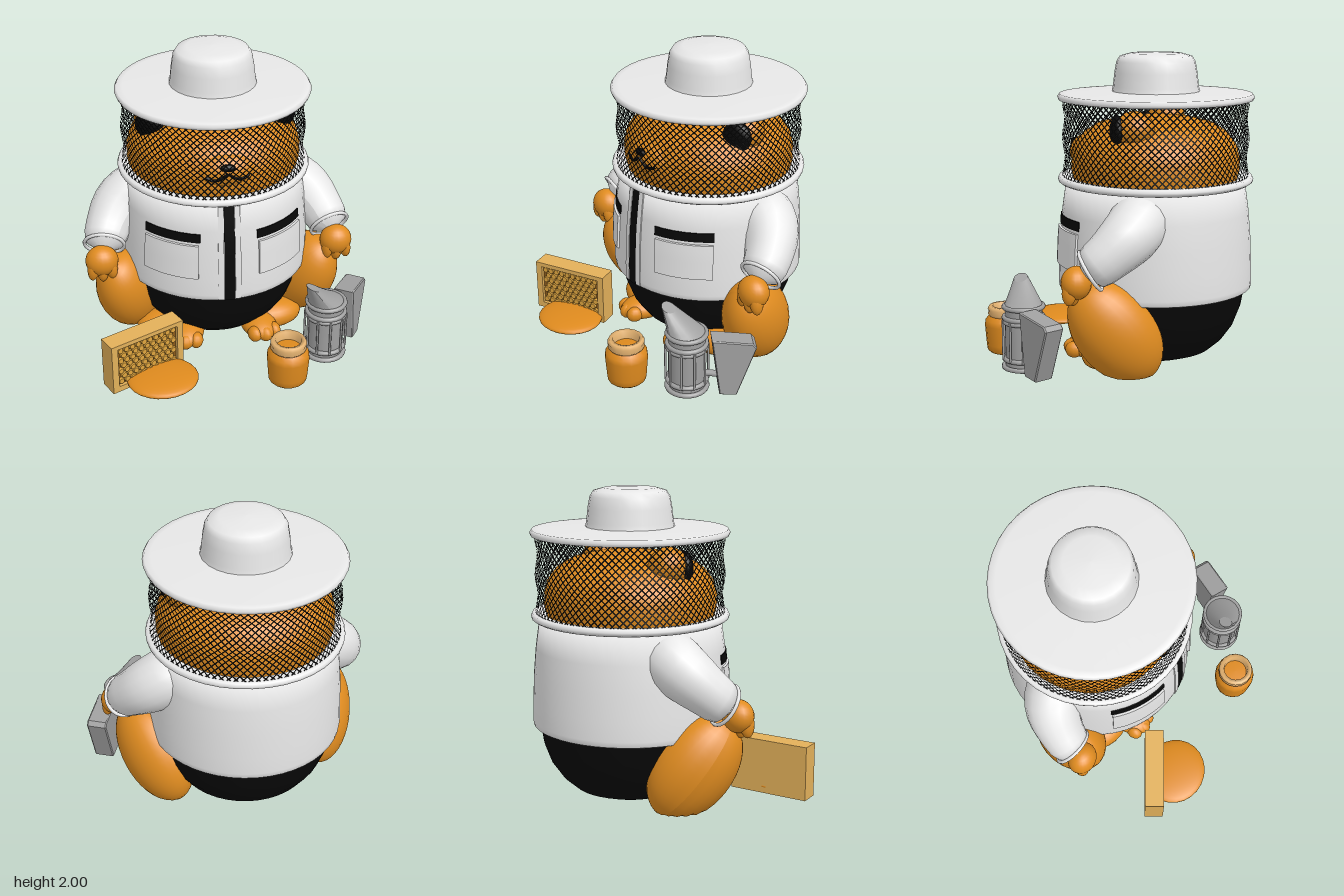
import * as THREE from 'three';

const mat = (name, color, side = THREE.FrontSide) => {
  const m = new THREE.MeshStandardMaterial({ color, side });
  m.name = name;
  return m;
};
const V2 = (pts) => pts.map(([x, y]) => new THREE.Vector2(x, y));
const V3 = (pts) => pts.map((p) => new THREE.Vector3(...p));

export function createModel() {
  const white = mat('white cloth', 0xf2f2f2);
  const black = mat('black', 0x080808);
  const net = mat('black net', 0x0a0a0a, THREE.DoubleSide);
  const fur = mat('orange fur', 0xe08c20);
  const wood = mat('light wood', 0xe2b05a);
  const honey = mat('honey', 0xde8a1e);
  const comb = mat('comb gold', 0xe0a63f);
  const brown = mat('comb shadow', 0x8a5a1a);
  const metal = mat('grey metal', 0xa0a0a0);
  const lid = mat('pale jar rim', 0xe6b472);

  const root = new THREE.Group();
  root.name = 'beekeeperBear';
  const group = (name, x, y, z, parent = root) => {
    const g = new THREE.Group();
    g.name = name;
    g.position.set(x, y, z);
    parent.add(g);
    return g;
  };
  const add = (parent, name, geo, material, pos = [0, 0, 0], rot = [0, 0, 0]) => {
    const m = new THREE.Mesh(geo, material);
    m.name = name;
    m.position.set(...pos);
    m.rotation.set(...rot);
    parent.add(m);
    return m;
  };
  const lathe = (pts, seg = 40) => new THREE.LatheGeometry(V2(pts), seg);
  const ball = (rx, ry, rz, seg = 20) => new THREE.SphereGeometry(1, seg, Math.ceil(seg * 0.7)).scale(rx, ry, rz);
  const tube = (pts, r, seg = 12) => new THREE.TubeGeometry(new THREE.CatmullRomCurve3(V3(pts)), seg, r, 6);

  const bear = group('bear', -0.03, 0, -0.215);

  // Hat: brim and crown
  const hat = group('hat', 0, 0, 0, bear);
  add(hat, 'brim', lathe([[0, 1.7], [0.55, 1.7], [0.61, 1.69], [0.635, 1.695], [0.643, 1.715], [0.63, 1.735],
    [0.59, 1.735], [0.3, 1.748], [0, 1.75]]), white);
  add(hat, 'crown', lathe([[0.288, 1.745], [0.28, 1.78], [0.27, 1.87], [0.257, 1.94], [0.235, 1.975], [0.17, 1.993], [0, 2]], 24), white);

  // Veil: two families of slanting strands, joined into one net
  const strands = 86, steps = 12, pos = [], idx = [];
  for (const dir of [-1, 1]) {
    for (let k = 0; k < strands; k++) {
      const base = pos.length / 3;
      for (let i = 0; i <= steps; i++) {
        const t = i / steps, r = 0.606 + 0.008 * Math.cos(t * Math.PI * 4);
        for (const w of [-0.0092, 0.0092]) {
          const a = (k / strands) * Math.PI * 2 + dir * t * 0.84 + w;
          pos.push(r * Math.sin(a), 1.19 + 0.51 * t, r * Math.cos(a));
        }
        const b = base + i * 2;
        if (i < steps) idx.push(b, b + 1, b + 3, b, b + 3, b + 2);
      }
    }
  }
  const netGeo = new THREE.BufferGeometry();
  netGeo.setAttribute('position', new THREE.Float32BufferAttribute(pos, 3));
  netGeo.setIndex(idx);
  netGeo.computeVertexNormals();
  add(bear, 'veil', netGeo, net);
  add(bear, 'veilRing', lathe([[0.56, 1.155], [0.62, 1.152], [0.64, 1.165], [0.643, 1.18], [0.635, 1.197], [0.61, 1.202], [0.56, 1.195]]), white);

  // Head
  const head = group('head', 0, 0, 0, bear);
  const skull = lathe([[0.56, 1.17], [0.578, 1.24], [0.578, 1.32], [0.557, 1.4], [0.5, 1.475], [0.4, 1.535], [0.26, 1.572], [0.12, 1.588], [0, 1.59]], 36);
  add(head, 'skull', skull.scale(1, 1, 0.95), fur);
  add(head, 'snout', ball(0.21, 0.12, 0.12), fur, [0, 1.34, 0.455]);
  add(head, 'nose', ball(0.05, 0.025, 0.025, 12), black, [0, 1.395, 0.56]);
  for (const s of [-1, 1]) {
    add(head, 'ear', ball(0.125, 0.12, 0.13), fur, [s * 0.4, 1.535, 0.03], [0, s * 0.4, 0]);
    add(head, 'innerEar', ball(0.1, 0.098, 0.05), black, [s * 0.435, 1.53, 0.13], [0, s * 0.4, 0]);
    add(head, 'mouth', tube([[0, 1.36, 0.57], [s * 0.05, 1.325, 0.57], [s * 0.1, 1.315, 0.56], [s * 0.14, 1.335, 0.545]], 0.01), black);
  }

  // Jacket body; jacketRadius lets panels follow its curve
  const side = [[0.64, 0.465], [0.644, 0.5], [0.64, 0.62], [0.632, 0.8], [0.617, 0.97], [0.59, 1.16]];
  const jacketRadius = (y) => {
    for (let i = 1; i < side.length; i++) {
      const [r0, y0] = side[i - 1], [r1, y1] = side[i];
      if (y <= y1) return r0 + ((r1 - r0) * (y - y0)) / (y1 - y0);
    }
    return side[side.length - 1][0];
  };
  const jacket = group('jacket', 0, 0, 0, bear);
  add(jacket, 'jacketBody', lathe([[0.56, 0.48], [0.63, 0.46], ...side, [0, 1.17]], 48), white);
  const panel = (name, x0, x1, y0, y1, thick, material) => {
    const a0 = Math.asin(x0 / 0.64), a1 = Math.asin(x1 / 0.64);
    const geo = new THREE.BoxGeometry(a1 - a0, y1 - y0, thick, 10, 6, 1);
    const p = geo.attributes.position;
    for (let i = 0; i < p.count; i++) {
      const a = p.getX(i) + (a0 + a1) / 2, y = p.getY(i) + (y0 + y1) / 2;
      const r = jacketRadius(y) + p.getZ(i) + thick / 2 - 0.003;
      p.setXYZ(i, r * Math.sin(a), y, r * Math.cos(a));
    }
    geo.computeVertexNormals();
    return add(jacket, name, geo, material);
  };
  panel('zip', -0.035, 0.035, 0.465, 1.14, 0.009, black);
  for (const s of [-1, 1]) {
    const span = (a, b) => (s < 0 ? [-b, -a] : [a, b]);
    panel('placket', ...span(0.037, 0.075), 0.47, 1.14, 0.011, white);
    panel('pocket', ...span(0.2, 0.515), 0.63, 0.87, 0.018, white);
    panel('pocketSlot', ...span(0.19, 0.52), 0.89, 0.95, 0.009, black);
  }

  // Trousers
  add(bear, 'trousers', lathe([[0, 0], [0.28, 0.002], [0.38, 0.04], [0.46, 0.11], [0.53, 0.21], [0.575, 0.33], [0.6, 0.48]]), black);

  // Arms and legs
  const floorClip = (geo, cy) => {
    const p = geo.attributes.position;
    for (let i = 0; i < p.count; i++) p.setY(i, Math.max(p.getY(i), 0.002 - cy));
    geo.computeVertexNormals();
    return geo;
  };
  const radii = [0.13, 0.175, 0.19, 0.19, 0.185, 0.178, 0.17, 0.16, 0.152, 0.146, 0.13, 0.03];
  for (const s of [-1, 1]) {
    // Sleeve: a tube whose rings are rescaled along the arm
    const curve = new THREE.CatmullRomCurve3(V3([[s * 0.42, 1.02, -0.05], [s * 0.62, 0.92, -0.01], [s * 0.735, 0.79, 0.11], [s * 0.785, 0.68, 0.24]]));
    const n = radii.length - 1, sleeve = new THREE.TubeGeometry(curve, n, 1, 18);
    const p = sleeve.attributes.position, v = new THREE.Vector3();
    for (let i = 0; i < p.count; i++) {
      const ring = Math.floor(i / 19), c = curve.getPointAt(ring / n);
      v.fromBufferAttribute(p, i).sub(c).multiplyScalar(radii[ring]).add(c);
      p.setXYZ(i, v.x, v.y, v.z);
    }
    sleeve.computeVertexNormals();
    add(bear, 'sleeve', sleeve, white);
    const cuff = add(bear, 'cuff', new THREE.TorusGeometry(0.134, 0.012, 8, 24), white);
    cuff.position.copy(curve.getPointAt(0.92));
    cuff.lookAt(cuff.position.clone().add(curve.getTangentAt(0.92)));

    const hand = group('hand', s * 0.8, 0.635, 0.285, bear);
    add(hand, 'palm', ball(0.11, 0.105, 0.095), fur);
    for (let i = -1; i <= 1; i++) {
      add(hand, 'finger', ball(0.04, 0.085, 0.048, 12), fur, [i * 0.06, -0.06 + Math.abs(i) * 0.015, 0.025], [0, 0, i * 0.12]);
    }

    // Thigh leans forward and turns outward at the knee
    const thigh = ball(0.21, 0.375, 0.255, 28).rotateX(0.62).rotateY(s * 0.4).rotateZ(s * -0.06);
    add(bear, 'thigh', floorClip(thigh, 0.285), fur, [s * 0.615, 0.285, 0.09]);
    const foot = group('foot', s * 0.25, 0.06, 0.365, bear);
    foot.rotation.y = s * 0.2;
    add(foot, 'sole', floorClip(ball(0.12, 0.08, 0.18), 0.06), fur);
    add(foot, 'ankle', floorClip(ball(0.2, 0.1, 0.13), 0.06), fur, [s * 0.15, 0, -0.08]);
    for (let i = -1; i <= 1; i++) add(foot, 'toe', ball(0.048, 0.055, 0.06, 12), fur, [i * 0.07, -0.004, 0.13 - Math.abs(i) * 0.02]);
  }

  // Hive frame with honeycomb
  const frame = group('hiveFrame', -0.62, 0, 0.515);
  frame.rotation.y = 0.44;
  const rim = new THREE.Shape(V2([[-0.27, 0], [0.27, 0], [0.27, 0.36], [-0.27, 0.36]]));
  rim.holes.push(new THREE.Path(V2([[-0.225, 0.04], [-0.225, 0.33], [0.225, 0.33], [0.225, 0.04]])));
  add(frame, 'frameRim', new THREE.ExtrudeGeometry(rim, { depth: 0.03, bevelEnabled: false }), wood, [0, 0, 0.035]);
  add(frame, 'frameBack', new THREE.BoxGeometry(0.54, 0.36, 0.1), wood, [0, 0.18, -0.015]);
  add(frame, 'combBacking', new THREE.BoxGeometry(0.45, 0.29, 0.008), brown, [0, 0.185, 0.037]);
  for (let row = 0; row < 7; row++) {
    for (let col = 0; col < 10 - (row % 2); col++) {
      add(frame, 'combCell', new THREE.CylinderGeometry(0.02, 0.0245, 0.018, 6), comb,
        [-0.2 + col * 0.0444 + (row % 2) * 0.0222, 0.068 + row * 0.0395, 0.048], [Math.PI / 2, 0, 0]);
    }
  }
  add(root, 'honeyPuddle', ball(0.235, 0.043, 0.215, 24), honey, [-0.51, 0.044, 0.63]);

  // Honey jar
  const jar = group('honeyJar', 0.3, 0, 0.73);
  add(jar, 'jarBody', lathe([[0, 0.002], [0.105, 0.002], [0.125, 0.02], [0.13, 0.06], [0.14, 0.19], [0.135, 0.225], [0.11, 0.25], [0.1, 0.26], [0, 0.262]], 16), honey);
  add(jar, 'jarRim', lathe([[0.08, 0.25], [0.108, 0.25], [0.12, 0.265], [0.113, 0.282], [0.12, 0.298], [0.11, 0.318], [0.085, 0.318], [0.08, 0.25]], 16), lid);

  // Smoker: can, bands, bars, spout and bellows
  const smoker = group('smoker', 0.61, 0, 0.48);
  add(smoker, 'can', new THREE.CylinderGeometry(0.12, 0.12, 0.41, 20), metal, [0, 0.215, 0]);
  for (const [y, r] of [[0.022, 0.13], [0.075, 0.125], [0.32, 0.125], [0.345, 0.125], [0.415, 0.125]]) {
    add(smoker, 'band', new THREE.TorusGeometry(r, 0.016, 8, 24), metal, [0, y, 0], [Math.PI / 2, 0, 0]);
  }
  for (let i = 0; i < 10; i++) {
    const a = (i / 10) * Math.PI * 2;
    add(smoker, 'guardBar', new THREE.CylinderGeometry(0.008, 0.008, 0.26, 6), metal, [0.137 * Math.sin(a), 0.2, 0.137 * Math.cos(a)]);
  }
  // Spout: a cone sheared toward its tip
  const spout = new THREE.CylinderGeometry(0.045, 0.125, 0.15, 16, 4);
  const sp = spout.attributes.position;
  for (let i = 0; i < sp.count; i++) {
    const t = sp.getY(i) / 0.15 + 0.5;
    sp.setXYZ(i, sp.getX(i) - 0.11 * t, sp.getY(i) - sp.getX(i) * 0.45 * t, sp.getZ(i) + 0.06 * t);
  }
  spout.computeVertexNormals();
  add(smoker, 'spout', spout, metal, [0, 0.495, 0]);
  const bellows = group('bellows', 0.215, 0, -0.195, smoker);
  bellows.rotation.y = 0.98;
  const wedge = new THREE.Shape(V2([[-0.08, 0.03], [0.02, 0.02], [0.14, 0.36], [0.12, 0.385], [-0.13, 0.42]]));
  add(bellows, 'bellowsBody', new THREE.ExtrudeGeometry(wedge, { depth: 0.12, bevelSize: 0.006, bevelThickness: 0.008, bevelSegments: 1 }), metal, [0, 0, -0.06]);
  add(smoker, 'bellowsPipe', new THREE.CylinderGeometry(0.022, 0.022, 0.16, 10), metal, [0.13, 0.13, -0.11], [0, 0.7, Math.PI / 2]);
  return root;
}
